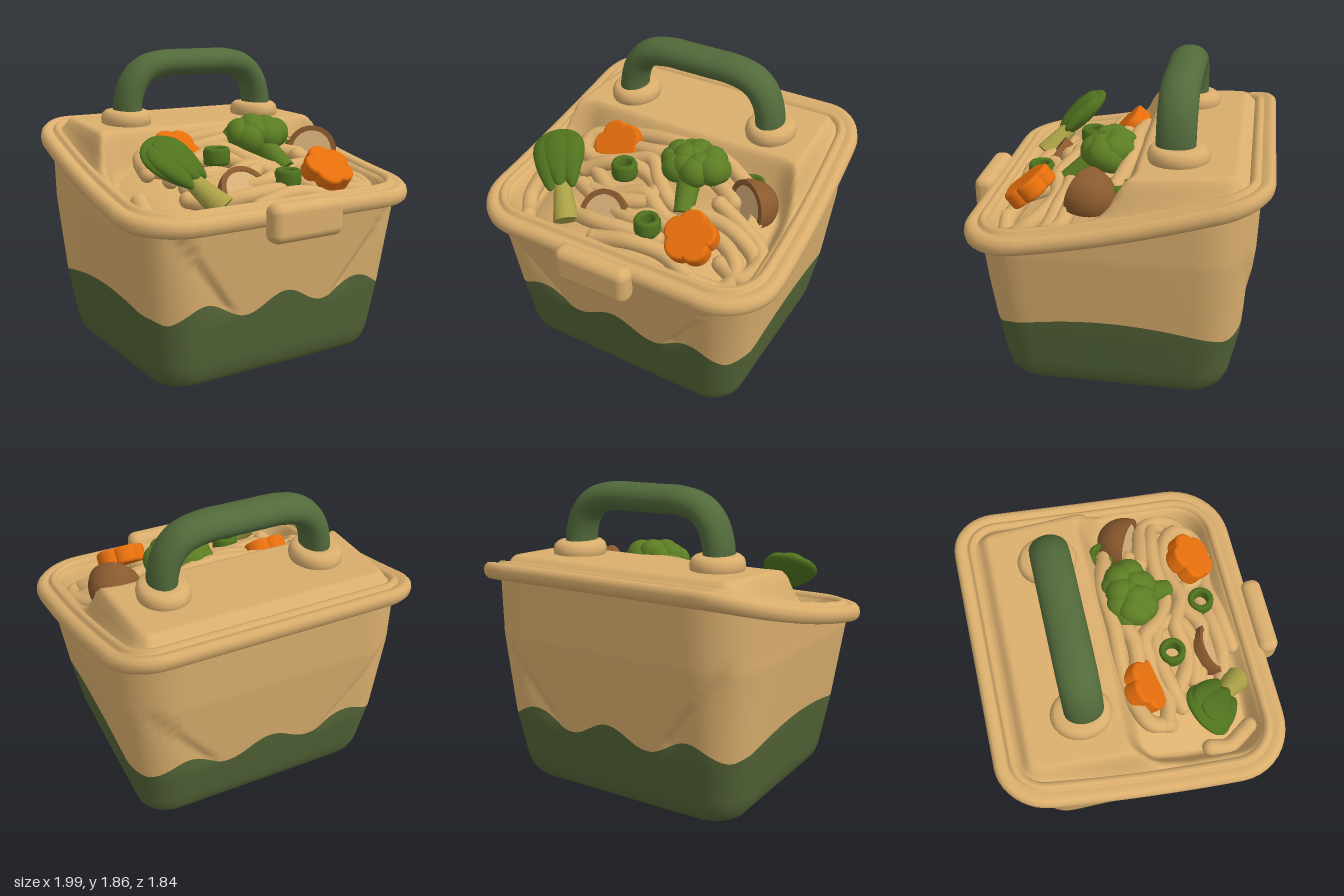
import * as THREE from 'three';
import { RoundedBoxGeometry } from 'three/addons/geometries/RoundedBoxGeometry.js';

const mat = (name, color) => Object.assign(new THREE.MeshStandardMaterial({ color }), { name });
const V = (x, y, z) => new THREE.Vector3(x, y, z);
const { smoothstep, lerp } = THREE.MathUtils;

// Skin a list of rings (each a list of points) with smooth normals.
function loft(rows, closed) {
  const n = rows[0].length, idx = [], m = closed ? n : n - 1;
  for (let v = 0; v < rows.length - 1; v++) for (let u = 0; u < m; u++) {
    const a = v * n + u, b = v * n + (u + 1) % n;
    idx.push(a, a + n, b, b, a + n, b + n);
  }
  const g = new THREE.BufferGeometry().setFromPoints(rows.flat());
  g.setIndex(idx);
  g.computeVertexNormals();
  return g;
}

// Point i on a rounded rectangle that narrows towards the back.
const ARC = 10, SIDE = 70, COUNT = 4 * SIDE;
function outline(i, { w, zf, zb, rf, rb, k }) {
  const arcPoint = (q, j) => {
    const r = q < 2 ? rf : rb, a = (q + j / ARC) * Math.PI / 2;
    const cx = (q === 0 || q === 3 ? 1 : -1) * (w - r), cz = q < 2 ? zf - r : zb + r;
    return [cx + r * Math.cos(a), cz + r * Math.sin(a)];
  };
  const q = Math.floor(i / SIDE) % 4, j = i % SIDE;
  let p = arcPoint(q, Math.min(j, ARC));
  if (j > ARC) {
    const e = arcPoint((q + 1) % 4, 0), t = (j - ARC) / (SIDE - ARC);
    p = [lerp(p[0], e[0], t), lerp(p[1], e[1], t)];
  }
  return [p[0] * (1 - k * ((zf - p[1]) / (zf - zb)) ** 2), p[1]];
}
const ring = f => Array.from({ length: COUNT }, (_, i) => f(i));

// Rim: front is low, back is high.
const rimY = z => 1.0 + 0.37 * Math.max(0, (0.83 - z) / 1.75) ** 1.5;
const rimShape = d => ({ w: 1 - d, zf: 0.83 - d, zb: -0.92 + d, rf: 0.36 - d, rb: 0.27 - d, k: 0.08 });

// Body size by height: y, half width, front z, back z.
const BODY = [[0, 0.68, 0.54, -0.62], [0.02, 0.73, 0.59, -0.67], [0.06, 0.76, 0.62, -0.7], [0.12, 0.78, 0.635, -0.725],
  [0.43, 0.84, 0.68, -0.785], [0.95, 0.915, 0.755, -0.84], [1.45, 0.94, 0.78, -0.855]];
function bodyPoint(i, y) {
  let s = 0;
  while (s < BODY.length - 2 && y > BODY[s + 1][0]) s++;
  const A = BODY[s], B = BODY[s + 1], t = (y - A[0]) / (B[0] - A[0]);
  const [w, zf, zb] = [1, 2, 3].map(c => lerp(A[c], B[c], t));
  const r = 0.18 + 0.12 * y;
  let [x, z] = outline(i, { w, zf, zb, rf: r, rb: r, k: 0.045 * Math.min(1, y) });
  // slanted folds on the front and back panels
  const out = Math.abs(x) - (0.33 + 0.39 * (y - 0.42) / 0.52);
  const onPanel = z > 0 ? smoothstep(z, zf - 0.1, zf - 0.02) : smoothstep(-z, -zb - 0.1, -zb - 0.02);
  z -= Math.sign(z) * 0.03 * smoothstep(out, -0.02, 0.03) * Math.exp(-Math.max(0, out) / 0.12) * smoothstep(y, 0.4, 0.5) * onPanel;
  return V(x, y, z);
}
function waveY(i) {
  const p = bodyPoint(i, 0.45), side = smoothstep(Math.abs(p.x), 0.74, 0.82);
  return lerp(0.465 + 0.052 * Math.cos(p.x * 2 * Math.PI / 0.54), 0.42 + 0.1 * Math.cos(p.z * Math.PI / 1.45), side);
}

// Top surface: raised flat lid behind, sunken bowl in front.
const heapY = (x, z) => 1.04 + 0.3 * (0.65 - z) / 0.73 - 0.12 * (x / 0.8) ** 2;
function topY(x, z, edge) {
  const rim = rimY(z) + 0.045;
  const d = Math.min(edge, z + 0.79, 0.7 - z);
  const lid = lerp(rim, 1.39 - 0.05 * z, smoothstep(d, 0, 0.08) * (1 - smoothstep(z, -0.18, 0.2)));
  const qx = Math.abs(x) - 0.64, qz = Math.abs(z - 0.265) - 0.235;
  const sd = Math.hypot(Math.max(qx, 0), Math.max(qz, 0)) + Math.min(Math.max(qx, qz), 0) - 0.2;
  const floor = Math.min(heapY(x, z) - 0.07 - 0.12 * (x / 0.85) ** 4, lid - 0.03);
  return lerp(lid, floor, smoothstep(-sd, 0, 0.1));
}
function topSurface() {
  const s = rimShape(0.13), rows = [];
  for (let a = 0; a <= 90; a++) {
    const z = lerp(s.zb, s.zf, a / 90), row = [];
    const r = z > 0 ? s.rf : s.rb, c = Math.max(0, z > 0 ? z - (s.zf - r) : s.zb + r - z);
    const half = (s.w - r + Math.sqrt(Math.max(0, r * r - c * c))) * (1 - s.k * ((s.zf - z) / (s.zf - s.zb)) ** 2);
    for (let b = 0; b <= 80; b++) {
      const x = half * (b / 40 - 1);
      row.push(V(x, topY(x, z, half - Math.abs(x)), z));
    }
    rows.push(row);
  }
  return loft(rows, false);
}

export function createModel() {
  const model = new THREE.Group();
  const tan = mat('tan', 0xdaae6d), green = mat('baseGreen', 0x536437), grip = mat('handleGreen', 0x526a3b),
    leaf = mat('leafGreen', 0x50731e), floret = mat('floretGreen', 0x5c7d23), stalk = mat('stalk', 0xaaa046),
    orange = mat('carrotOrange', 0xe66e0c), brown = mat('mushroomBrown', 0x8a5a2e), flesh = mat('mushroomFlesh', 0xd8b07a);
  const add = (name, g, m, parent = model) => {
    const mesh = new THREE.Mesh(g, m);
    mesh.name = name;
    parent.add(mesh);
    return mesh;
  };
  // Group whose local z faces along zDir, with local y near yDir.
  const oriented = (name, pos, zDir, yDir) => {
    const g = new THREE.Group(), z = V(...zDir).normalize(), x = V(...yDir).cross(z).normalize();
    g.quaternion.setFromRotationMatrix(new THREE.Matrix4().makeBasis(x, z.clone().cross(x), z));
    g.position.set(...pos);
    g.name = name;
    model.add(g);
    return g;
  };

  // Box body
  const base = [ring(() => V(0, 0, -0.04)), ...[0, 0.006, 0.02, 0.06].map(y => ring(i => bodyPoint(i, y)))];
  for (let v = 0; v <= 8; v++) base.push(ring(i => bodyPoint(i, lerp(0.12, waveY(i), v / 8))));
  add('wavyBase', loft(base, true), green);
  const upper = [];
  for (let v = 0; v <= 30; v++) upper.push(ring(i => bodyPoint(i, lerp(waveY(i), rimY(outline(i, rimShape(0.08))[1]) - 0.01, v / 30))));
  add('upperBody', loft(upper, true), tan);

  // Rolled rim with an inner lip
  const rim = [[0.16, -0.035], [0.06, -0.05], [0.025, -0.048], [0.006, -0.03], [0, 0], [0.006, 0.028], [0.025, 0.048], [0.05, 0.053],
    [0.075, 0.045], [0.085, 0.045], [0.09, 0.06], [0.105, 0.072], [0.125, 0.068], [0.14, 0.05], [0.145, 0.02]];
  add('rim', loft(rim.map(([d, h]) => ring(i => {
    const [x, z] = outline(i, rimShape(d));
    return V(x, rimY(z) + h, z);
  })), true), tan);
  add('lidAndBowl', topSurface(), tan);
  add('clasp', new RoundedBoxGeometry(0.49, 0.225, 0.13, 5, 0.055), tan).position.set(0, 0.977, 0.855);

  // Carry handle
  const arch = [[0.485, 1.42], [0.48, 1.54], [0.44, 1.66], [0.36, 1.74], [0.23, 1.774], [0.08, 1.777]];
  const path = [...arch.map(([x, y]) => V(-x, y, 0)), ...arch.slice().reverse().map(([x, y]) => V(x, y, 0))];
  const handle = add('handle', new THREE.TubeGeometry(new THREE.CatmullRomCurve3(path), 80, 0.085, 24), grip);
  handle.scale.z = 1.34;
  handle.position.z = -0.362;
  const pad = [[0.13, -0.05], [0.15, 0], [0.153, 0.03], [0.145, 0.06], [0.125, 0.078], [0.09, 0.083], [0, 0.083]].map(p => new THREE.Vector2(...p));
  for (const s of [-1, 1]) {
    const foot = add('handleFoot', new THREE.LatheGeometry(pad, 32), tan);
    foot.position.set(s * 0.485, 1.412, -0.38);
    foot.scale.z = 1.16;
  }

  // Noodles: flat paths laid over the heap
  const noodles = [
    [-0.6, 0.12, -0.58, 0, -0.45, -0.06, -0.3, -0.09, 0, -0.08, 0.3, -0.09, 0.52, -0.03],
    [-0.6, 0.1, -0.45, 0.14, -0.25, 0.1, -0.08, 0.08, 0.05, 0.2, 0.2, 0.28, 0.42, 0.27, 0.6, 0.29, 0.76, 0.34, 0.79, 0.42],
    [-0.4, 0.22, -0.2, 0.33, 0, 0.3, 0.2, 0.38, 0.4, 0.34, 0.6, 0.38, 0.71, 0.48, 0.68, 0.58, 0.5, 0.63],
    [-0.15, 0.63, 0.08, 0.6, 0.28, 0.57, 0.5, 0.62],
    [-0.76, 0.33, -0.76, 0.45, -0.7, 0.55, -0.66, 0.61],
    [-0.45, 0.32, -0.25, 0.4, 0, 0.46, 0.12, 0.4, 0.26, 0.42, 0.32, 0.52],
    [-0.5, 0.22, -0.35, 0.17, -0.15, 0.14, 0.02, 0.2, 0.04, 0.31, -0.1, 0.38, -0.35, 0.34],
    [0.44, 0.18, 0.6, 0.22, 0.75, 0.27, 0.8, 0.38, 0.74, 0.5, 0.6, 0.46],
    [-0.5, 0.42, -0.38, 0.5, -0.2, 0.55, 0, 0.54, 0.2, 0.5],
    [-0.3, 0, -0.1, 0.02, 0.1, -0.02, 0.35, 0.04, 0.5, 0.12],
  ];
  noodles.forEach((p, n) => {
    const pts = [];
    for (let i = 0; i < p.length; i += 2) pts.push(V(p[i], heapY(p[i], p[i + 1]) - 0.02 + 0.02 * Math.sin(i * 0.9 + n * 2), p[i + 1]));
    add('noodle', new THREE.TubeGeometry(new THREE.CatmullRomCurve3(pts), 48, 0.05, 10), tan);
    for (const e of [pts[0], pts[pts.length - 1]]) add('noodleEnd', new THREE.SphereGeometry(0.05, 10, 8), tan).position.copy(e);
  });

  // Carrot flowers
  const petals = [];
  for (let i = 0; i < 80; i++) {
    const a = i / 80 * Math.PI * 2, r = 0.098 + 0.042 * Math.sqrt(Math.abs(Math.cos(2.5 * a)));
    petals.push(new THREE.Vector2(r * Math.cos(a), r * Math.sin(a)));
  }
  const carrot = new THREE.ExtrudeGeometry(new THREE.Shape(petals), { depth: 0.07, bevelSize: 0.02, bevelThickness: 0.02, bevelSegments: 4 });
  add('carrotFlower', carrot, orange, oriented('carrotBack', [-0.36, 1.23, 0], [0, 0.68, 0.73], [0.3, 1, 0]));
  add('carrotFlower', carrot, orange, oriented('carrotFront', [0.43, 1.13, 0.48], [0, 0.8, 0.6], [-0.3, 1, 0]));

  // Broccoli
  const stem = oriented('broccoliStem', [0.235, 1.22, 0.21], [0, 0.8, 0.6], [-0.07, 0.16, -0.22]);
  add('stem', new THREE.CylinderGeometry(0.075, 0.058, 0.26, 16), floret, stem);
  for (let i = 0; i < 16; i++) {
    const h = 1 - i / 12, r = Math.sqrt(Math.max(0, 1 - h * h)), a = i * 2.4;
    add('floret', new THREE.SphereGeometry(0.078 + 0.009 * (i % 3), 16, 12), floret)
      .position.set(0.2 + 0.145 * r * Math.cos(a), 1.325 + 0.05 * h, 0.055 + 0.085 * r * Math.sin(a));
  }
  add('floretCore', new THREE.SphereGeometry(0.12, 16, 12), floret).position.set(0.2, 1.32, 0.055);

  // Halved mushrooms
  const cut = new THREE.Shape();
  cut.absarc(0, 0, 0.13, 0, Math.PI);
  cut.lineTo(-0.05, -0.01).lineTo(-0.045, -0.09).lineTo(0.045, -0.09).lineTo(0.05, -0.01);
  const edge = new THREE.Shape();
  edge.absarc(0, 0, 0.16, 0, Math.PI).absarc(0, 0, 0.128, Math.PI, 0, true);
  for (const [pos, z, y] of [[[-0.165, 1.085, 0.5], [0, 0.6, 0.8], [0, 1, -0.3]], [[0.6, 1.21, 0.13], [-0.5, 0.15, 0.85], [0.2, 1, 0]]]) {
    const g = oriented('mushroom', pos, z, y);
    add('cap', new THREE.SphereGeometry(0.16, 28, 12, Math.PI, Math.PI, 0, Math.PI * 0.56), brown, g).scale.z = 1.15;
    add('capEdge', new THREE.ExtrudeGeometry(edge, { depth: 0.02, bevelEnabled: false, curveSegments: 24 }), brown, g);
    add('cutFace', new THREE.ExtrudeGeometry(cut, { depth: 0.012, bevelEnabled: false, curveSegments: 24 }), flesh, g);
  }

  // Spring onion rings
  const onion = [[0.042, 0], [0.075, 0], [0.08, 0.02], [0.08, 0.08], [0.07, 0.1], [0.052, 0.1], [0.042, 0.085], [0.042, 0]].map(p => new THREE.Vector2(...p));
  for (const [x, y, z] of [[-0.19, 1.21, 0.23], [0.14, 1.09, 0.5], [0.54, 1.17, -0.04]])
    add('onionRing', new THREE.LatheGeometry(onion, 24), leaf).position.set(x, y, z);

  // Leafy green: teardrop blades on a pale stalk
  const choy = oriented('leafyGreen', [-0.39, 1.05, 0.58], [0.15, 0.73, 0.66], [-0.5, 0.58, -0.6]);
  add('stalk', new THREE.CylinderGeometry(0.05, 0.08, 0.24, 16), stalk, choy).position.y = 0.09;
  const blade = new THREE.SphereGeometry(1, 24, 16), bp = blade.attributes.position;
  for (let i = 0; i < bp.count; i++) bp.setX(i, bp.getX(i) * (0.78 + 0.32 * bp.getY(i)));
  blade.computeVertexNormals();
  for (const [x, y, z, sx, sy, sz] of [[0, 0.35, 0, 0.2, 0.2, 0.055], [-0.07, 0.33, 0.025, 0.1, 0.17, 0.045],
    [0.07, 0.33, 0.025, 0.1, 0.17, 0.045], [0, 0.34, 0.04, 0.11, 0.17, 0.04]]) {
    const mesh = add('leaf', blade, leaf, choy);
    mesh.position.set(x, y, z);
    mesh.scale.set(sx, sy, sz);
  }
  return model;
}
